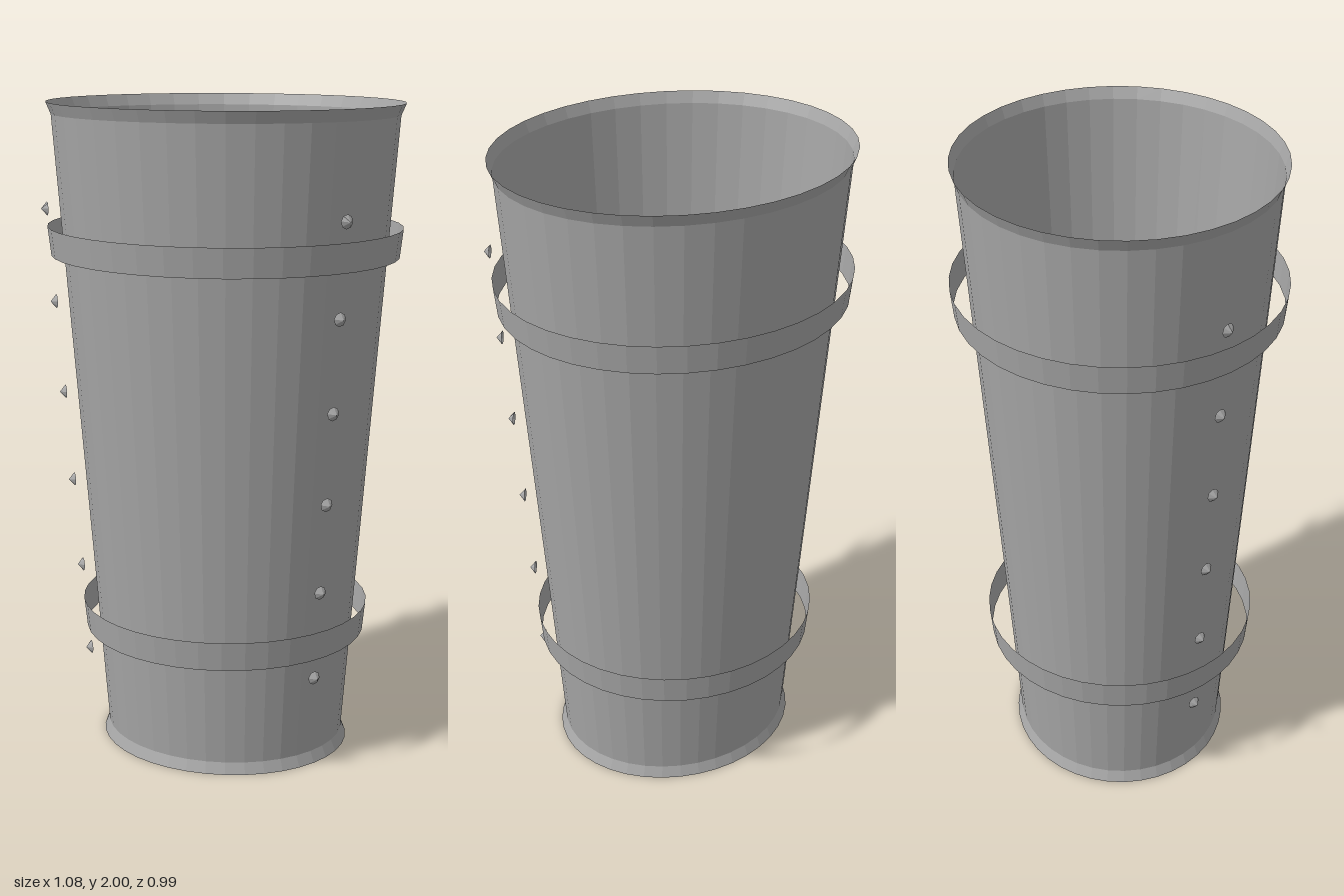
import * as THREE from 'three';

const SEGMENTS = 40;

export function createModel() {
  const group = new THREE.Group();
  const steel = new THREE.MeshStandardMaterial({ color: 0xa6a6a6, side: THREE.DoubleSide, flatShading: true });
  steel.name = 'grey steel';

  // Open oval shell from [x radius, height] pairs; depth is the z/x ratio
  function ovalShell(name, profile, depth) {
    const points = profile.map(([r, y]) => new THREE.Vector2(r, y));
    const geometry = new THREE.LatheGeometry(points, SEGMENTS);
    geometry.scale(1, 1, depth);
    const mesh = new THREE.Mesh(geometry, steel);
    mesh.name = name;
    group.add(mesh);
  }

  // Tapered tube with a small flare at both ends
  ovalShell('sleeve', [[0.395, 0], [0.38, 0.035], [0.525, 1.965], [0.54, 2]], 0.88);

  // Loose straps standing off the sleeve
  ovalShell('lowerStrap', [[0.441, 0.37], [0.45, 0.46]], 0.952);
  ovalShell('upperStrap', [[0.53, 1.548], [0.54, 1.635]], 0.914);

  // Pointed studs in a column on each side, facing outward and forward
  const studGeometry = new THREE.ConeGeometry(0.021, 0.018, 8, 1, true);
  studGeometry.translate(0, 0.009, 0);
  const up = new THREE.Vector3(0, 1, 0);
  for (const side of [1, -1]) {
    const outward = new THREE.Vector3(0.79 * side, 0, 0.61).normalize();
    for (let i = 0; i < 6; i++) {
      const t = i / 5;
      const stud = new THREE.Mesh(studGeometry, steel);
      stud.name = side > 0 ? 'leftStud' : 'rightStud';
      stud.position.set(side * (0.367 + 0.091 * t), 0.31 + 1.385 * t, 0.22 + 0.05 * t);
      stud.quaternion.setFromUnitVectors(up, outward);
      group.add(stud);
    }
  }

  return group;
}
